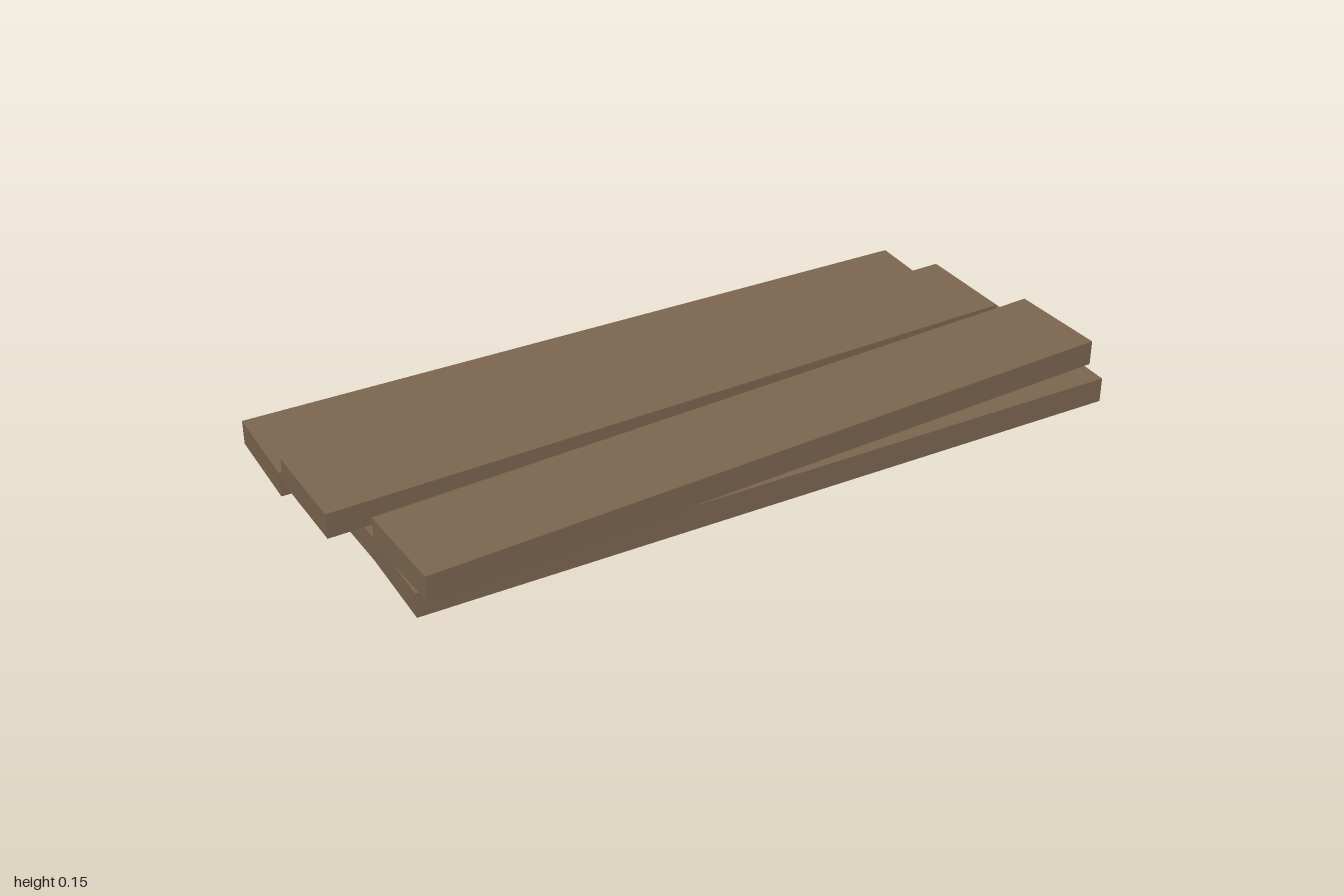
import * as THREE from 'three';

export function createModel() {
  const group = new THREE.Group();
  group.name = 'plankStack';

  const wood = new THREE.MeshStandardMaterial({ color: 0x7d6650 });
  wood.name = 'brown wood';

  // One sawn board, shared by the whole stack
  const thickness = 0.067;
  const board = new THREE.BoxGeometry(1.895, thickness, 0.266);

  // Name, centre x, base y, centre z, slight turn about y
  const planks = [
    ['lowerBackPlank', -0.033, 0, -0.304, -0.03],
    ['lowerMiddlePlank', 0.047, 0, -0.003, 0.022],
    ['lowerFrontPlank', 0.047, 0, 0.293, -0.025],
    ['upperBackPlank', -0.05, 0.083, -0.006, 0.007],
    ['upperFrontPlank', 0.04, 0.083, 0.297, 0.035],
  ];

  for (const [name, x, y, z, turn] of planks) {
    const plank = new THREE.Mesh(board, wood);
    plank.name = name;
    plank.position.set(x, y + thickness / 2, z);
    plank.rotation.y = turn;
    group.add(plank);
  }

  return group;
}
